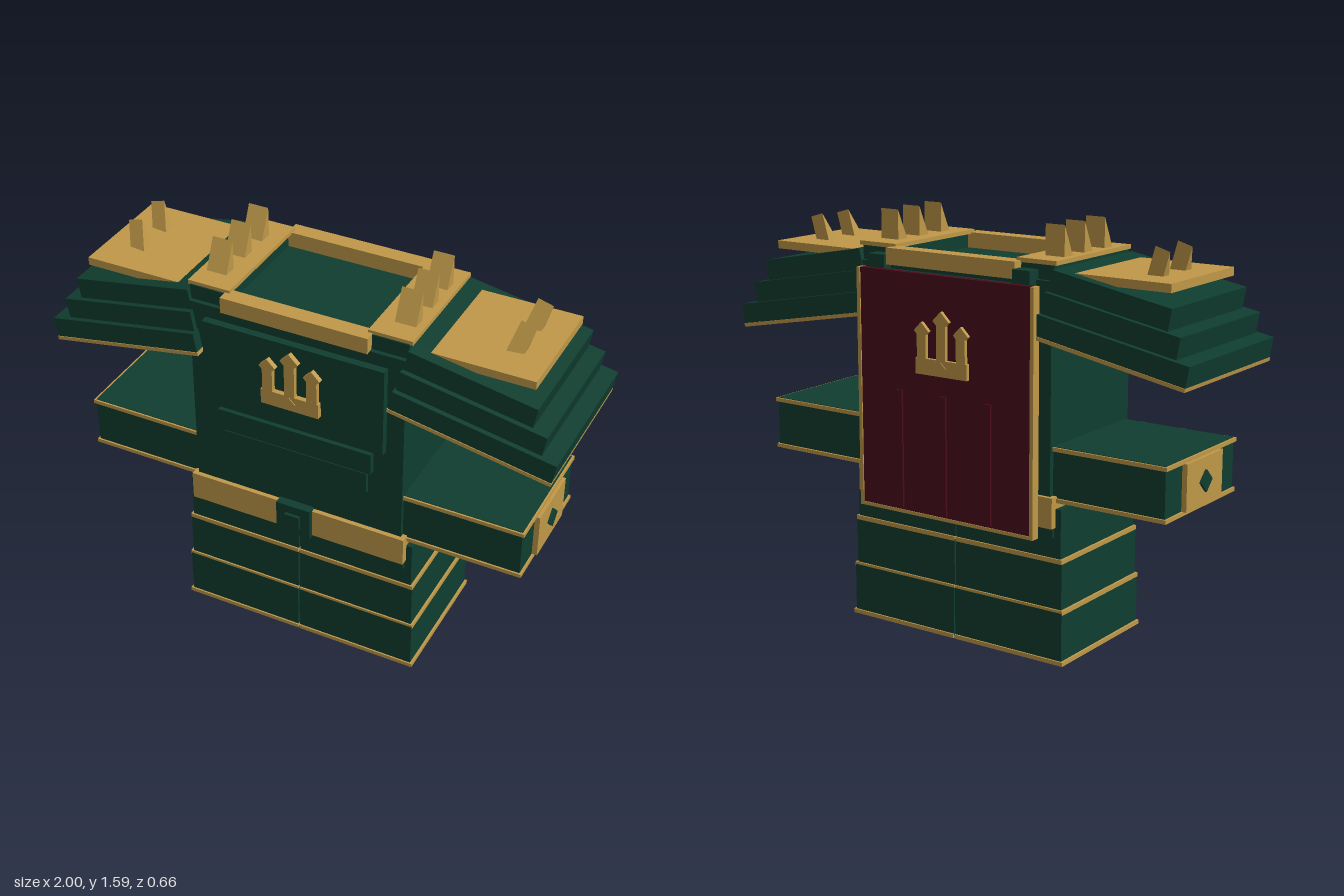
import * as THREE from 'three';

const paint = (name, color) => {
  const m = new THREE.MeshStandardMaterial({ color });
  m.name = name;
  return m;
};

export function createModel() {
  const green = paint('deep green', 0x0f3d2f);
  const gold = paint('antique gold', 0xbf9848);
  const maroon = paint('maroon', 0x4a0a1b);

  const model = new THREE.Group();
  model.name = 'armour';

  const part = (name, parent = model) => {
    const g = new THREE.Group();
    g.name = name;
    parent.add(g);
    return g;
  };
  // Box given by its limits along each axis
  const box = (name, mat, [x0, x1], [y0, y1], [z0, z1], parent = model) => {
    const geo = new THREE.BoxGeometry(Math.abs(x1 - x0), y1 - y0, z1 - z0);
    const m = new THREE.Mesh(geo, mat);
    m.name = name;
    m.position.set((x0 + x1) / 2, (y0 + y1) / 2, (z0 + z1) / 2);
    parent.add(m);
    return m;
  };
  // Spike: right triangle in z-y with an upright rear edge, extruded across x
  const spike = (name, width, depth, height, x, y, zFront, tilt, parent) => {
    const s = new THREE.Shape();
    s.moveTo(0, 0);
    s.lineTo(depth, 0);
    s.lineTo(depth, height);
    s.closePath();
    const geo = new THREE.ExtrudeGeometry(s, { depth: width, bevelEnabled: false });
    geo.translate(0, 0, -width / 2);
    geo.rotateY(Math.PI / 2);
    const m = new THREE.Mesh(geo, gold);
    m.name = name;
    m.position.set(x, y, zFront);
    m.rotation.z = tilt;
    parent.add(m);
  };

  // Torso, chest and abdomen plates
  const torso = part('torso');
  box('torsoBody', green, [-0.425, 0.425], [0.6, 1.405], [-0.25, 0.277], torso);
  box('chestPlate', green, [-0.358, 0.358], [1.0, 1.355], [0.27, 0.307], torso);
  box('upperAbdomenPlate', green, [-0.31, 0.31], [0.895, 0.982], [0.27, 0.303], torso);
  box('lowerAbdomenPlate', green, [-0.29, 0.29], [0.797, 0.885], [0.27, 0.295], torso);
  box('backPlate', green, [-0.35, 0.35], [0.955, 1.385], [-0.28, -0.24], torso);

  // Collar frame
  const collar = part('collar');
  box('collarFront', gold, [-0.287, 0.287], [1.403, 1.465], [0.23, 0.295], collar);
  box('collarBack', gold, [-0.287, 0.287], [1.403, 1.465], [-0.277, -0.213], collar);

  // Belt, buckle and skirt
  const belt = part('belt');
  box('beltBand', gold, [-0.443, 0.443], [0.515, 0.63], [-0.265, 0.295], belt);
  box('skirt', green, [-0.438, 0.438], [0.477, 0.6], [-0.252, 0.28], belt);
  box('buckle', green, [-0.07, 0.07], [0.51, 0.64], [0.28, 0.315], belt);
  box('buckleStud', green, [-0.03, 0.03], [0.55, 0.605], [0.31, 0.328], belt);

  // Three-pronged crest
  const crest = (name, y, z) => {
    const g = part(name);
    g.position.set(0, y, z);
    const d = [-0.011, 0.011];
    box('crestBase', gold, [-0.115, 0.115], [0, 0.06], d, g);
    for (const [x, top, half] of [[-0.088, 0.16, 0.033], [0, 0.203, 0.036], [0.088, 0.16, 0.033]]) {
      box('crestProng', gold, [x - 0.02, x + 0.02], [0.05, top], d, g);
      const a = half / Math.SQRT2;
      box('crestTip', gold, [x - a, x + a], [top - a, top + a], d, g).rotation.z = Math.PI / 4;
    }
    box('crestStud', gold, [-0.018, 0.018], [0.012, 0.048], [-0.014, 0.014], g).rotation.z = Math.PI / 4;
  };
  crest('frontCrest', 1.092, 0.316);
  crest('backCrest', 1.025, -0.316);

  // Cape with gold edges and raised pleats
  const cape = part('cape');
  box('capeCloth', maroon, [-0.382, 0.382], [0.488, 1.39], [-0.312, -0.285], cape);
  box('capeHem', gold, [-0.394, 0.394], [0.477, 0.49], [-0.315, -0.28], cape);
  for (const x of [-0.2, 0, 0.2])
    box('capePleat', maroon, [x - 0.014, x + 0.014], [0.5, 0.95], [-0.321, -0.31], cape);

  for (const s of [1, -1]) {
    const side = s > 0 ? 'left' : 'right';
    const X = (a, b) => (s > 0 ? [a, b] : [-b, -a]);

    box('capeEdge', gold, X(0.38, 0.395), [0.477, 1.39], [-0.316, -0.28], cape);
    box('capeHanger', green, X(0.285, 0.36), [1.36, 1.44], [-0.29, -0.235], cape);

    // Leg: three tiers, each with a gold trim at its foot
    const leg = part(side + 'Leg');
    [[0.48, 0.277, 0, 0.2], [0.474, 0.27, 0.2, 0.39], [0.466, 0.265, 0.39, 0.585]].forEach(([w, zf, y0, y1], i) => {
      const zb = 0.025 - zf;
      box('legTier', green, X(0.003, w), [y0 + 0.008, y1], [zb, zf], leg);
      const t = i ? [y0 - 0.007, y0 + 0.01] : [0, 0.016];
      box('legTrim', gold, X(0.003, w + 0.009), t, [zb - 0.006, zf + 0.006], leg);
    });

    // Arm with gold rims and an end plate
    const arm = part(side + 'Arm');
    box('armBody', green, X(0.42, 0.882), [0.605, 0.812], [-0.23, 0.26], arm);
    for (const y of [0.608, 0.795])
      for (const [x, z] of [
        [[0.42, 0.89], [0.255, 0.267]],
        [[0.42, 0.89], [-0.237, -0.225]],
        [[0.877, 0.89], [-0.237, 0.267]],
      ]) box('armRim', gold, X(...x), [y, y + 0.015], z, arm);
    box('armEndPlate', gold, X(0.88, 0.902), [0.622, 0.796], [-0.115, 0.142], arm);
    box('armEndDiamond', green, X(0.9, 0.911), [0.68, 0.738], [-0.015, 0.043], arm).rotation.x = Math.PI / 4;

    // Shoulder guard: stepped layers sloping down and outward
    const guard = part(side + 'ShoulderGuard');
    const slope = part('slopedLayers', guard);
    slope.position.set(s * 0.983, 1.095, 0);
    slope.rotation.z = -s * 0.18;
    box('guardTrim', gold, X(-0.62, 0), [0, 0.014], [-0.3, 0.32], slope);
    box('guardLowerLayer', green, X(-0.617, -0.001), [0.012, 0.09], [-0.297, 0.317], slope);
    box('guardMiddleLayer', green, X(-0.612, -0.064), [0.085, 0.168], [-0.275, 0.297], slope);
    box('guardUpperLayer', green, X(-0.607, -0.125), [0.16, 0.247], [-0.255, 0.277], slope);
    box('guardTopPlate', gold, X(0.43, 0.875), [1.404, 1.435], [-0.212, 0.232], guard);
    for (const z of [0.12, -0.035])
      spike('guardSpike', 0.06, 0.062, 0.14, s * 0.735, 1.395, z, -s * 0.28, guard);

    // Shoulder strap with gold pad and a row of spikes
    const strap = part(side + 'ShoulderStrap');
    box('strapBase', green, X(0.285, 0.427), [1.36, 1.462], [-0.235, 0.26], strap);
    box('strapPad', gold, X(0.27, 0.438), [1.459, 1.475], [-0.24, 0.255], strap);
    for (const z of [0.172, 0.038, -0.092])
      spike('strapSpike', 0.08, 0.055, 0.118, s * 0.37, 1.47, z, 0, strap);
  }

  return model;
}
